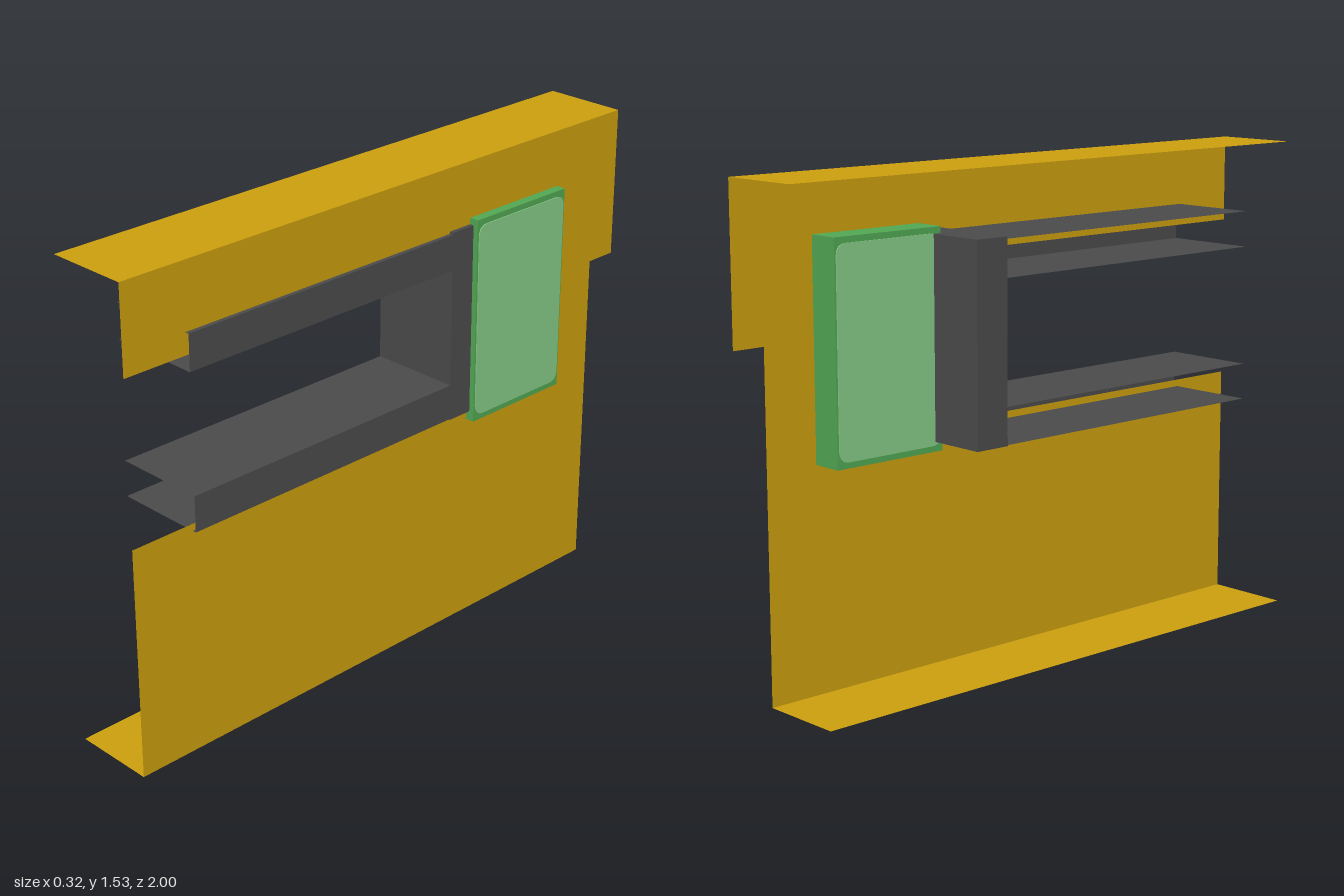
import * as THREE from 'three';

const yellow = new THREE.MeshStandardMaterial({ color: 0xcc9f0e, side: THREE.DoubleSide });
yellow.name = 'wallYellow';
const gray = new THREE.MeshStandardMaterial({ color: 0x4b4b4b, side: THREE.DoubleSide });
gray.name = 'frameGray';
const green = new THREE.MeshStandardMaterial({ color: 0x52a854 });
green.name = 'rimGreen';
const paleGreen = new THREE.MeshStandardMaterial({ color: 0x86cc88 });
paleGreen.name = 'panelGreen';

export function createModel() {
  const model = new THREE.Group();

  const add = (parent, name, geometry, material) => {
    const mesh = new THREE.Mesh(geometry, material);
    mesh.name = name;
    parent.add(mesh);
    return mesh;
  };
  // Horizontal sheet between two x and two z values
  const sheet = (x0, x1, z0, z1, y) => new THREE.PlaneGeometry(x1 - x0, z1 - z0)
    .rotateX(-Math.PI / 2).translate((x0 + x1) / 2, y, (z0 + z1) / 2);
  // Box between two corners
  const box = (x0, x1, y0, y1, z0, z1) => new THREE.BoxGeometry(x1 - x0, y1 - y0, z1 - z0)
    .translate((x0 + x1) / 2, (y0 + y1) / 2, (z0 + z1) / 2);

  // Wall sheet with an open slot at the front and an overhang at the back
  const outline = [[1, 0], [-0.895, 0], [-0.895, 1.055], [-1, 1.055], [-1, 1.535],
    [1, 1.535], [1, 1.26], [-0.3, 1.26], [-0.3, 0.745], [1, 0.745]];
  const wallShape = new THREE.Shape(outline.map(([z, y]) => new THREE.Vector2(-z, y)));
  add(model, 'wall', new THREE.ShapeGeometry(wallShape)
    .rotateY(Math.PI / 2).translate(0.126, 0, 0), yellow);
  add(model, 'wallTop', sheet(-0.145, 0.126, -1, 1, 1.535), yellow);
  add(model, 'wallBottom', sheet(-0.145, 0.126, -0.895, 1, 0), yellow);

  // Dark U-shaped frame: a post and two open channel arms
  const frame = new THREE.Group();
  frame.name = 'frame';
  model.add(frame);
  add(frame, 'post', box(-0.163, 0.14, 0.72, 1.335, -0.357, -0.24), gray);
  for (const [name, y0, y1] of [['upperArm', 1.215, 1.328], ['lowerArm', 0.723, 0.837]]) {
    const arm = new THREE.Group();
    arm.name = name;
    frame.add(arm);
    add(arm, 'armTop', sheet(-0.163, 0.14, -0.24, 0.785, y1), gray);
    add(arm, 'armBottom', sheet(-0.163, 0.14, -0.24, 0.785, y0), gray);
    add(arm, 'armFace', new THREE.PlaneGeometry(1.025, y1 - y0)
      .rotateY(Math.PI / 2).translate(0.14, (y0 + y1) / 2, 0.2725), gray);
  }

  // Green block let into the wall, with a pale rounded panel on each side
  const block = new THREE.Group();
  block.name = 'greenBlock';
  model.add(block);
  add(block, 'blockRim', box(0.027, 0.157, 0.69, 1.355, -0.72, -0.328), green);

  const w = 0.19, h = 0.314, r = 0.035;
  const panelShape = new THREE.Shape();
  panelShape.moveTo(-w + r, -h);
  panelShape.lineTo(w - r, -h).quadraticCurveTo(w, -h, w, -h + r);
  panelShape.lineTo(w, h - r).quadraticCurveTo(w, h, w - r, h);
  panelShape.lineTo(-w + r, h).quadraticCurveTo(-w, h, -w, h - r);
  panelShape.lineTo(-w, -h + r).quadraticCurveTo(-w, -h, -w + r, -h);
  const panelGeometry = new THREE.ExtrudeGeometry(panelShape,
    { depth: 0.004, bevelEnabled: false, curveSegments: 5 }).rotateY(Math.PI / 2);
  for (const [name, x] of [['outerPanel', 0.156], ['innerPanel', 0.024]]) {
    add(block, name, panelGeometry, paleGreen).position.set(x, 1.0225, -0.524);
  }

  return model;
}
